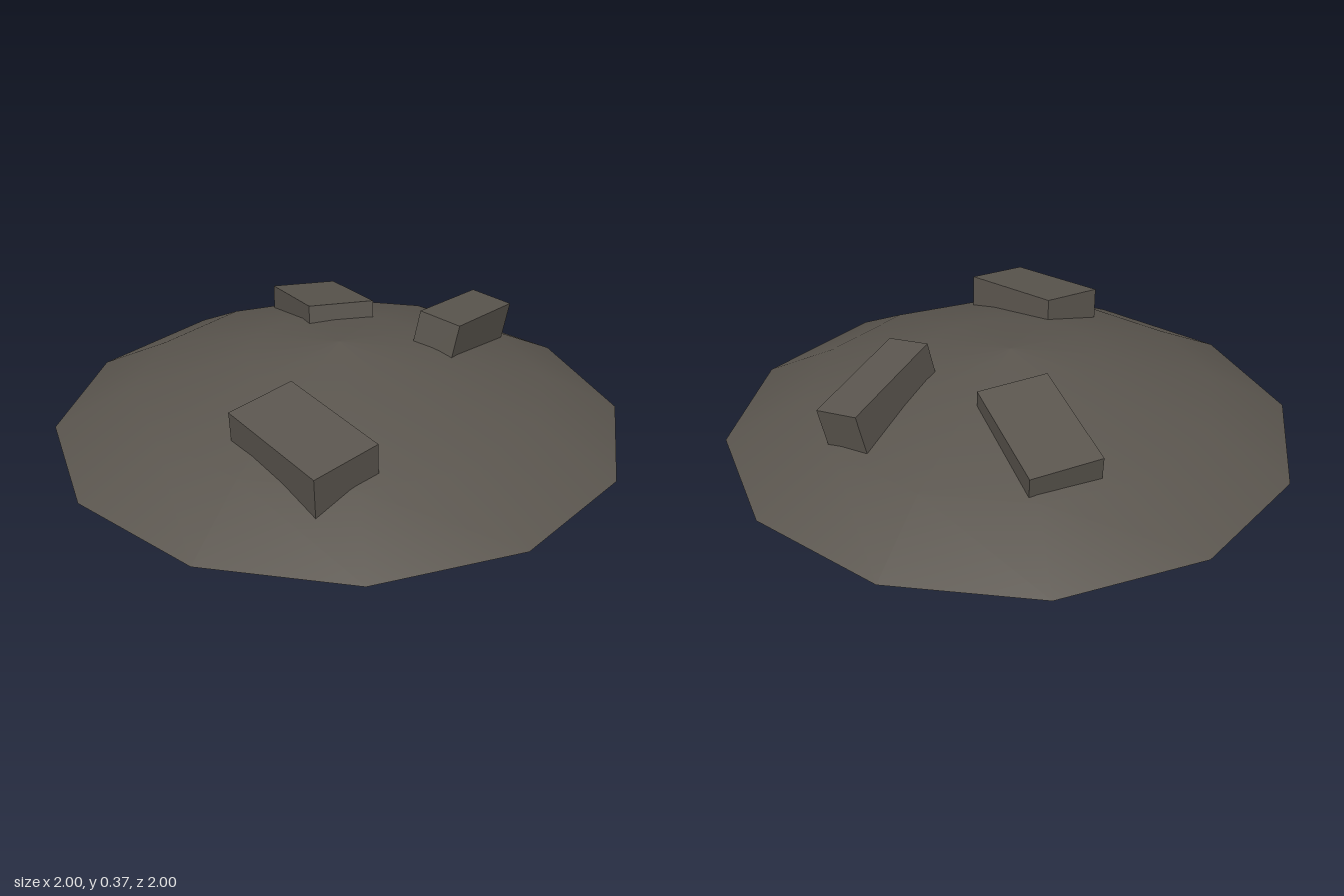
import * as THREE from 'three';

const stone = new THREE.MeshStandardMaterial({ color: 0x5a554e, side: THREE.DoubleSide });
stone.name = 'dark stone';

const LENGTH = 0.425, WIDTH = 0.248, THICKNESS = 0.157;

// Half-buried block, placed by the centre of its top face and two edge directions
function block(name, top, along, across, width, depth) {
  const x = new THREE.Vector3(...along).normalize();
  const y = new THREE.Vector3(...across).cross(x).normalize();
  if (y.y < 0) y.negate();
  const z = new THREE.Vector3().crossVectors(x, y);
  const geometry = new THREE.BoxGeometry(LENGTH, depth, width);
  geometry.translate(0, -depth / 2, 0);
  const mesh = new THREE.Mesh(geometry, stone);
  mesh.name = name;
  mesh.quaternion.setFromRotationMatrix(new THREE.Matrix4().makeBasis(x, y, z));
  mesh.position.set(...top);
  return mesh;
}

export function createModel() {
  const group = new THREE.Group();
  group.name = 'rubbleMound';

  // Open twelve-sided mound with smooth normals
  const profile = [[1, 0], [0.72, 0.144], [0.33, 0.252], [0, 0.297]]
    .map(([r, y]) => new THREE.Vector2(r, y));
  const mound = new THREE.Mesh(new THREE.LatheGeometry(profile, 12), stone);
  mound.name = 'mound';
  group.add(mound);

  // Two blocks lie flat, the third stands on its narrow side
  group.add(
    block('frontBlock', [0.146, 0.279, 0.568], [0.385, -0.045, 0.175], [0.11, 0.03, -0.22], WIDTH, THICKNESS),
    block('backRightBlock', [-0.265, 0.275, -0.396], [0.3, 0.085, 0.285], [0.17, -0.015, -0.175], WIDTH, THICKNESS),
    block('backLeftBlock', [0.315, 0.325, -0.405], [0.045, -0.07, -0.41], [0.155, -0.02, 0.02], THICKNESS, WIDTH),
  );
  return group;
}
